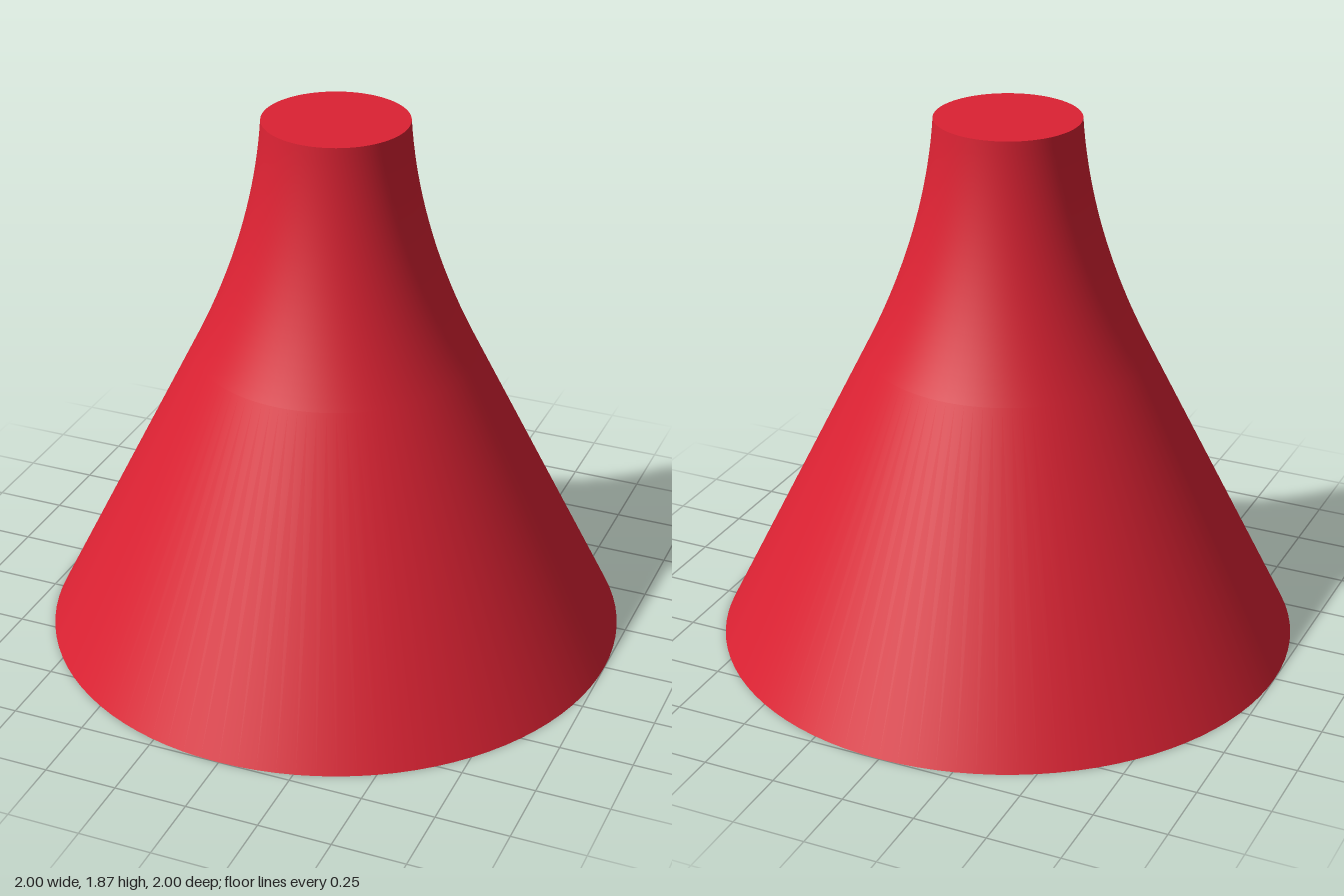
import * as THREE from 'three';

const SEGMENTS = 96;
const HEIGHT = 1.87;
const BASE_RADIUS = 1;
const TOP_RADIUS = 0.245;

export function createModel() {
  const group = new THREE.Group();
  group.name = 'flaredCone';
  const material = new THREE.MeshStandardMaterial({ color: 0xdc2233 });

  function add(name, geometry) {
    const mesh = new THREE.Mesh(geometry, material);
    mesh.name = name;
    group.add(mesh);
    return mesh;
  }

  // Wall: straight cone that eases into a nearly upright neck
  const neck = new THREE.QuadraticBezierCurve(
    new THREE.Vector2(0.48, 1.05),
    new THREE.Vector2(0.273, 1.47),
    new THREE.Vector2(TOP_RADIUS, HEIGHT)
  );
  const profile = [new THREE.Vector2(BASE_RADIUS, 0), ...neck.getPoints(20)];
  add('wall', new THREE.LatheGeometry(profile, SEGMENTS));

  // Flat caps, separate so the rims stay sharp
  const top = add('topCap', new THREE.CircleGeometry(TOP_RADIUS, SEGMENTS));
  top.rotation.x = -Math.PI / 2;
  top.position.y = HEIGHT;

  const base = add('baseCap', new THREE.CircleGeometry(BASE_RADIUS, SEGMENTS));
  base.rotation.x = Math.PI / 2;

  return group;
}
